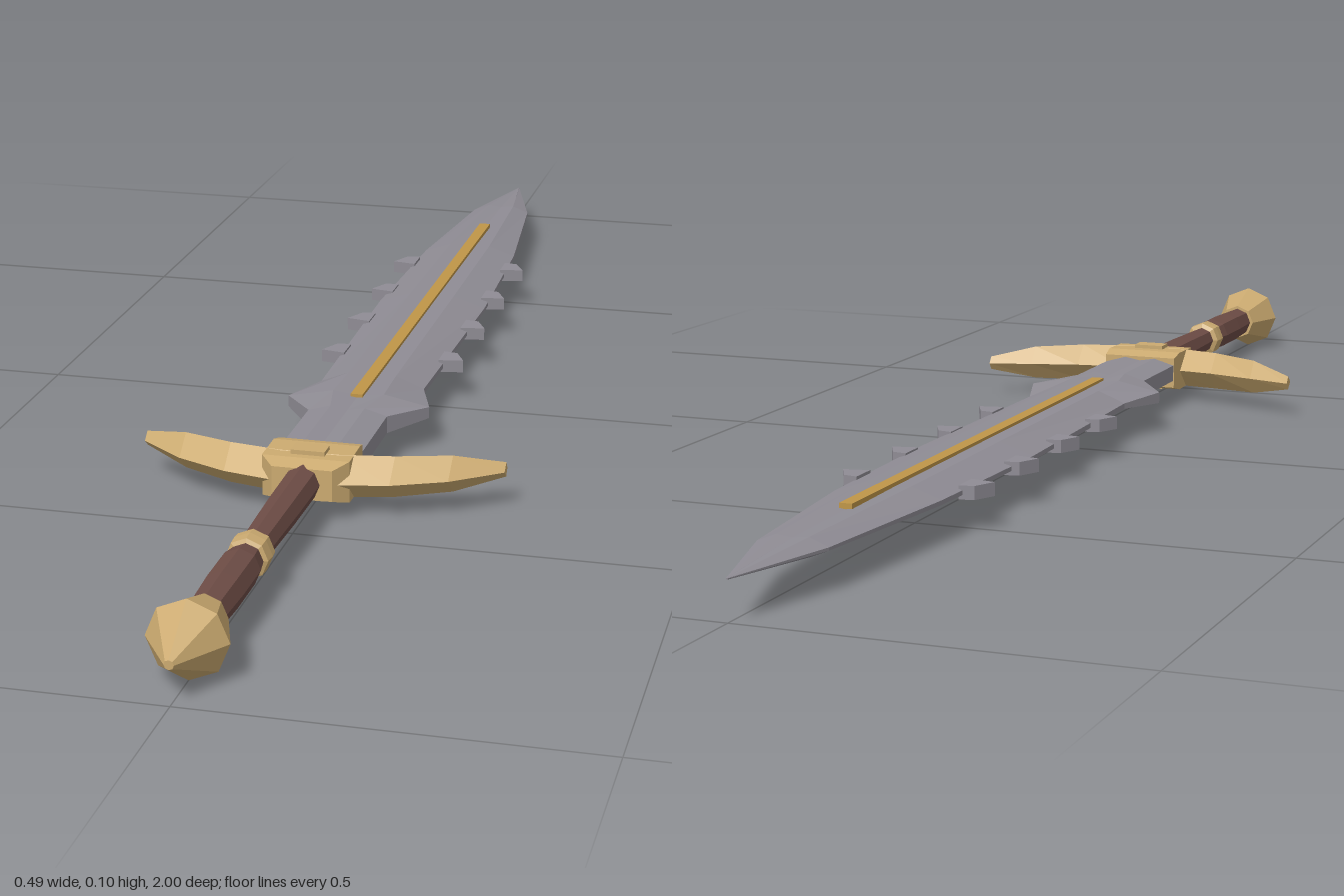
import * as THREE from 'three';

const MID = 0.052; // height of the sword's long axis

function material(name, color) {
  const m = new THREE.MeshStandardMaterial({ color, flatShading: true });
  m.name = name;
  return m;
}

// Joins closed cross-sections; rings run counter-clockwise seen from the first end
function loft(rings) {
  const pos = [];
  const tri = (a, b, c) => pos.push(...a, ...b, ...c);
  const n = rings[0].length;
  const centre = (r) => [0, 1, 2].map((k) => r.reduce((s, p) => s + p[k], 0) / n);
  for (let i = 0; i < rings.length - 1; i++) {
    const a = rings[i], b = rings[i + 1];
    for (let j = 0; j < n; j++) {
      const k = (j + 1) % n;
      tri(a[j], b[j], a[k]);
      tri(a[k], b[j], b[k]);
    }
  }
  const first = rings[0], last = rings[rings.length - 1];
  const c0 = centre(first), c1 = centre(last);
  for (let j = 0; j < n; j++) {
    const k = (j + 1) % n;
    tri(c0, first[j], first[k]);
    tri(c1, last[k], last[j]);
  }
  const g = new THREE.BufferGeometry();
  g.setAttribute('position', new THREE.Float32BufferAttribute(pos, 3));
  g.computeVertexNormals();
  return g;
}

// Eight-sided turned part along z from [radius, z] pairs
function turned(profile) {
  const pts = profile.map(([r, z]) => new THREE.Vector2(r, z));
  return new THREE.LatheGeometry(pts, 8).rotateX(Math.PI / 2);
}

export function createModel() {
  const root = new THREE.Group();
  root.name = 'sword';
  const sword = new THREE.Group();
  sword.name = 'swordParts';
  sword.position.y = MID;
  root.add(sword);

  const steel = material('steel', 0x8f8c94);
  const gold = material('paleGold', 0xcbaa70);
  const inlayGold = material('inlayGold', 0xbf9648);
  const leather = material('brownLeather', 0x6e4d46);

  function add(name, geometry, mat) {
    const mesh = new THREE.Mesh(geometry, mat);
    mesh.name = name;
    sword.add(mesh);
    return mesh;
  }

  // Blade: z, outer half width, ridge half width, ridge height, edge half thickness
  const stations = [
    [0.37, 0.055, 0.024, 0.021, 0.012],
    [0.22, 0.055, 0.024, 0.021, 0.012],
    [0.16, 0.1, 0.036, 0.021, 0.008],
    [0.08, 0.074, 0.034, 0.02, 0.004],
    [-0.3, 0.082, 0.034, 0.019, 0.003],
    [-0.58, 0.073, 0.032, 0.017, 0.003],
    [-0.84, 0.046, 0.021, 0.012, 0.002],
    [-1, 0.001, 0.0005, 0.001, 0.0005],
  ];
  add('blade', loft(stations.map(([z, w, r, h, e]) => [
    [w, -e, z], [w, e, z], [r, h, z], [0, h * 0.8, z], [-r, h, z],
    [-w, e, z], [-w, -e, z], [-r, -h, z], [0, -h * 0.8, z], [r, -h, z],
  ])), steel);

  // Thin gold inlays on both faces
  for (const s of [1, -1]) {
    const inlay = add(s > 0 ? 'upperInlay' : 'lowerInlay',
      new THREE.BoxGeometry(0.017, 0.008, 0.87), inlayGold);
    inlay.position.set(0, s * 0.0165, -0.265);
    inlay.rotation.x = -s * 0.003;
  }

  // Barbs along both cutting edges
  const outline = [[0.07, -0.022], [0.09, -0.018], [0.105, 0.012], [0.07, 0.019]];
  for (const z of [-0.5, -0.35, -0.2, -0.05]) {
    for (const s of [1, -1]) {
      const shape = new THREE.Shape(outline.map(([x, dz]) => new THREE.Vector2(s * x, -(z + dz))));
      const barb = new THREE.ExtrudeGeometry(shape, { depth: 0.018, bevelEnabled: false });
      barb.translate(0, 0, -0.009).rotateX(-Math.PI / 2);
      add(s > 0 ? 'leftBarb' : 'rightBarb', barb, steel);
    }
  }

  // Swept crossguard with a diamond section: x, back z, ridge z, front z, half height
  const arm = [
    [0.244, 0.336, 0.343, 0.355, 0.01],
    [0.18, 0.355, 0.374, 0.404, 0.025],
    [0.11, 0.375, 0.402, 0.435, 0.028],
    [0.04, 0.385, 0.416, 0.45, 0.029],
  ];
  const mirrored = arm.map(([x, ...rest]) => [-x, ...rest]).reverse();
  add('crossguard', loft([...arm, ...mirrored].map(([x, b, m, f, h]) => [
    [x, h, m], [x, 0, f], [x, -h, m], [x, 0, b],
  ])), gold);

  // Chamfered guard block and its small raised bosses
  const block = [[0.455, 0.04, 0.021], [0.435, 0.058, 0.028], [0.38, 0.058, 0.029], [0.358, 0.056, 0.023]];
  add('guardBlock', loft(block.map(([z, w, h]) => [
    [w, -h, z], [w, h, z], [-w, h, z], [-w, -h, z],
  ])), gold);
  for (const s of [1, -1]) {
    const boss = add('guardBoss', new THREE.BoxGeometry(0.045, 0.01, 0.026), gold);
    boss.position.set(0, s * 0.029, 0.412);
  }

  // Grip, collar and pommel
  add('grip', turned([[0.024, 0.44], [0.023, 0.55], [0.02, 0.67], [0.021, 0.7],
    [0.026, 0.73], [0.026, 0.8], [0.023, 0.875]]), leather);
  add('gripCollar', turned([[0.018, 0.668], [0.027, 0.672], [0.028, 0.686],
    [0.027, 0.702], [0.018, 0.706]]), gold);
  add('pommel', turned([[0, 0.868], [0.028, 0.868], [0.05, 0.933], [0.006, 1], [0, 1]]), gold);

  return root;
}
